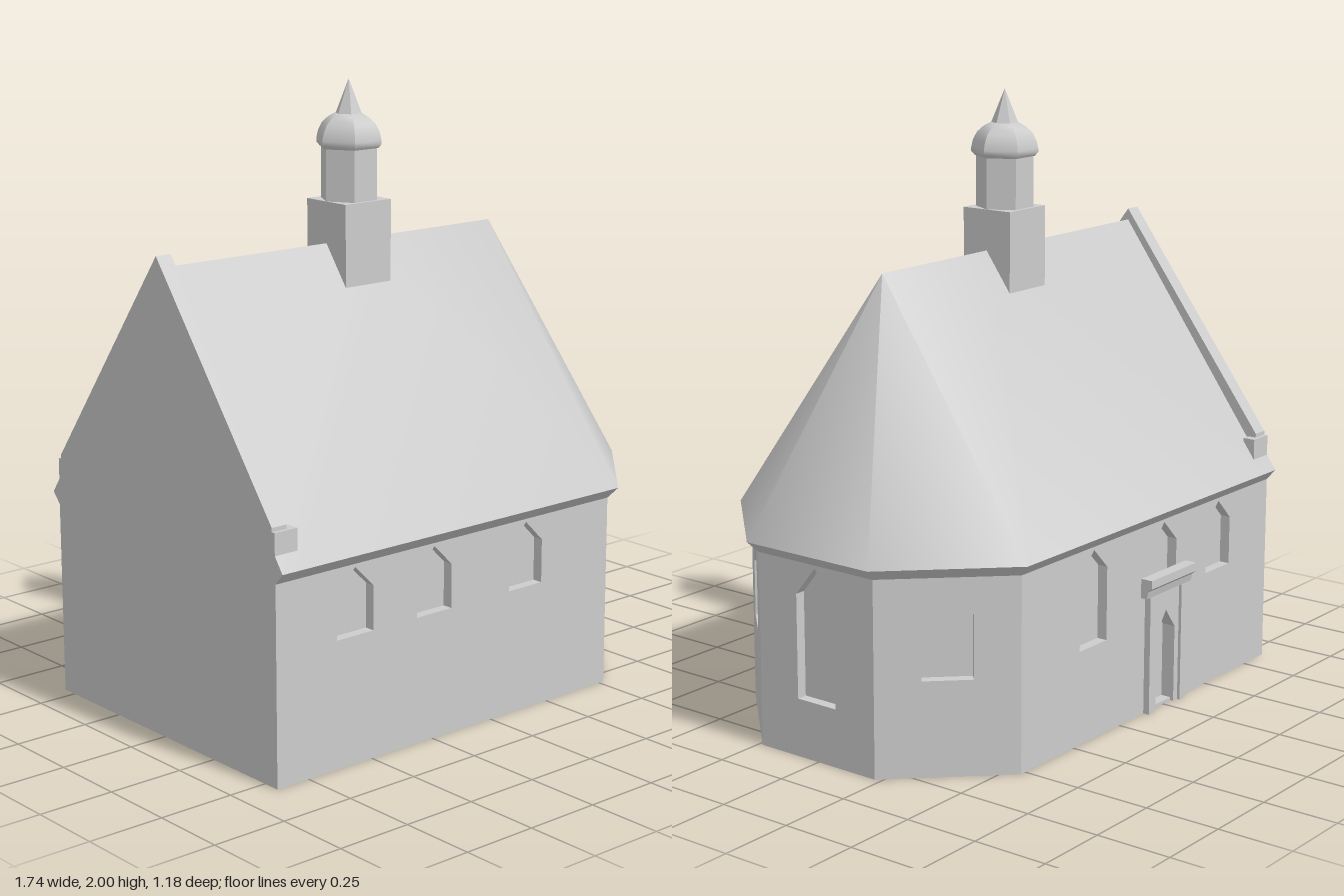
import * as THREE from 'three';
import { toCreasedNormals } from 'three/addons/utils/BufferGeometryUtils.js';

const stone = new THREE.MeshStandardMaterial({ color: 0xcccccc });
stone.name = 'pale stone';

const WALL_H = 0.635, EAVE_Y = 0.672, RIDGE_Y = 1.487, RECESS = 0.035;
// Plan outlines as [x, z], running from the front gable corner round the apse
const FOOT = [[-0.87, 0.555], [0.52, 0.555], [0.83, 0.232], [0.83, -0.232], [0.52, -0.555], [-0.87, -0.555]];
const EAVE = [[-0.87, 0.588], [0.535, 0.588], [0.867, 0.245], [0.867, -0.245], [0.535, -0.588], [-0.87, -0.588]];

function add(parent, name, geometry, x = 0, y = 0, z = 0) {
  const mesh = new THREE.Mesh(geometry, stone);
  mesh.name = name;
  mesh.position.set(x, y, z);
  parent.add(mesh);
  return mesh;
}

const polygon = (pts) => new THREE.Shape(pts.map(([x, y]) => new THREE.Vector2(x, y)));
const extrude = (shape, depth) => new THREE.ExtrudeGeometry(shape, { depth, bevelEnabled: false });

// Pointed opening: centre u, half width, sill, shoulder and apex heights
const pointedArch = (u, half, sill, shoulder, apex) => polygon(
  [[u - half, sill], [u + half, sill], [u + half, shoulder], [u, apex], [u - half, shoulder]]);

function triangles(corners) {
  const geo = new THREE.BufferGeometry();
  geo.setAttribute('position', new THREE.Float32BufferAttribute(corners.flat(), 3));
  geo.computeVertexNormals();
  return geo;
}

// Wall between two plan corners with recessed windows; local x runs along it, z points out
function buildWall(name, [ax, az], [bx, bz], openings) {
  const wall = new THREE.Group();
  wall.name = name;
  wall.position.set(ax, 0, az);
  wall.rotation.y = Math.atan2(az - bz, bx - ax);
  const len = Math.hypot(bx - ax, bz - az);
  const face = polygon([[0, 0], [len, 0], [len, WALL_H], [0, WALL_H]]);
  for (const o of openings) {
    face.holes.push(pointedArch(...o));
    add(wall, 'recessedPane', new THREE.ShapeGeometry(pointedArch(...o)), 0, 0, -RECESS);
  }
  add(wall, 'wallPanel', extrude(face, RECESS), 0, 0, -RECESS);
  return wall;
}

// Door surround on a wall, centred at u
function buildPortal(u) {
  const portal = new THREE.Group();
  portal.name = 'doorPortal';
  portal.position.x = u;
  add(portal, 'surround', extrude(polygon([[-0.105, 0], [-0.052, 0], [-0.052, 0.26], [0, 0.33],
    [0.052, 0.26], [0.052, 0], [0.105, 0], [0.105, 0.41], [-0.105, 0.41]]), 0.012));
  for (const s of [-1, 1]) {
    add(portal, 'pilaster', new THREE.BoxGeometry(0.03, 0.41, 0.022), s * 0.09, 0.205, 0.011);
  }
  const profile = polygon([[0, 0.4], [0.022, 0.4], [0.028, 0.425], [0.042, 0.437], [0.042, 0.465], [0, 0.465]]);
  add(portal, 'cornice', extrude(profile, 0.256).rotateY(-Math.PI / 2), 0.128);
  return portal;
}

function buildRoof() {
  const roof = new THREE.Group();
  roof.name = 'roof';
  const [a, b, c] = EAVE.map(([x, z]) => [x, EAVE_Y, z]);
  const ridgeStart = [-0.87, RIDGE_Y, 0], ridgeMid = [-0.02, RIDGE_Y, 0], hip = [0.5, RIDGE_Y, 0];
  const flip = ([x, y, z]) => [x, y, -z];
  // Front half of the slopes, then mirrored
  const half = [[a, b, ridgeMid], [a, ridgeMid, ridgeStart], [b, hip, ridgeMid], [b, c, hip]];
  const slopes = [...half, ...half.map(([p, q, r]) => [flip(p), flip(r), flip(q)]), [c, flip(c), hip]];
  add(roof, 'roofSlopes', toCreasedNormals(triangles(slopes.flat()), 0.8));

  // Sloping soffit from the wall head out to the eaves
  const soffit = [];
  for (let i = 0; i < FOOT.length - 1; i++) {
    const lo = (j) => [FOOT[j][0], WALL_H, FOOT[j][1]];
    const hi = (j) => [EAVE[j][0], EAVE_Y, EAVE[j][1]];
    soffit.push(lo(i), lo(i + 1), hi(i + 1), lo(i), hi(i + 1), hi(i));
  }
  add(roof, 'eavesSoffit', triangles(soffit));
  return roof;
}

function buildGable() {
  const gable = new THREE.Group();
  gable.name = 'gable';
  const face = polygon([[-0.555, 0], [0.555, 0], [0.555, WALL_H], [0.588, EAVE_Y], [0, RIDGE_Y],
    [-0.588, EAVE_Y], [-0.555, WALL_H]]);
  add(gable, 'gableWall', new THREE.ShapeGeometry(face).rotateY(-Math.PI / 2), -0.87);
  // Raised coping along the verge with a kneeler at each foot
  const coping = polygon([[0.54, 0.72], [0.54, 0.803], [0, 1.525], [-0.54, 0.803], [-0.54, 0.72], [0, 1.45]]);
  add(gable, 'coping', extrude(coping, 0.055).rotateY(-Math.PI / 2), -0.815);
  for (const s of [-1, 1]) {
    add(gable, 'kneeler', new THREE.BoxGeometry(0.085, 0.09, 0.042), -0.8275, 0.745, s * 0.532);
  }
  return gable;
}

function buildTurret() {
  const turret = new THREE.Group();
  turret.name = 'turret';
  turret.position.x = -0.112;
  add(turret, 'turretBase', new THREE.BoxGeometry(0.188, 0.32, 0.188), 0, 1.46, 0);
  const hex = (geo) => toCreasedNormals(geo.rotateY(Math.PI / 6).toNonIndexed(), 0.7);
  add(turret, 'lantern', hex(new THREE.CylinderGeometry(0.094, 0.094, 0.18, 6)), 0, 1.7, 0);
  const dome = [[0, 1.785], [0.098, 1.785], [0.109, 1.797], [0.109, 1.81], [0.103, 1.835],
    [0.09, 1.86], [0.068, 1.88], [0.045, 1.892], [0, 1.895]];
  add(turret, 'dome', hex(new THREE.LatheGeometry(dome.map(([r, y]) => new THREE.Vector2(r, y)), 6)));
  add(turret, 'spire', hex(new THREE.ConeGeometry(0.045, 0.112, 6)), 0, 1.944, 0);
  return turret;
}

export function createModel() {
  const chapel = new THREE.Group();
  chapel.name = 'chapel';
  const body = new THREE.Group();
  body.name = 'body';
  body.position.z = 0.004;
  chapel.add(body);

  // Openings per wall: [centre along wall, half width, sill, shoulder, apex]
  const diag = Math.hypot(0.31, 0.323) / 2;
  const win = (u, sill) => [u, 0.072, sill, 0.553, 0.625];
  const walls = [
    ['frontWall', [win(0.305, 0.41), win(0.625, 0.41), win(1.018, 0.41)]],
    ['frontApseWall', [[diag, 0.08, 0.33, 0.515, 0.625]]],
    ['endApseWall', [[0.232, 0.077, 0.19, 0.53, 0.625]]],
    ['backApseWall', [[diag, 0.08, 0.31, 0.515, 0.625]]],
    ['backWall', [win(0.372, 0.31), win(0.763, 0.41), win(1.085, 0.39), [0.763, 0.052, 0.01, 0.26, 0.33]]],
  ];
  walls.forEach(([name, openings], i) => {
    const wall = buildWall(name, FOOT[i], FOOT[i + 1], openings);
    if (name === 'backWall') wall.add(buildPortal(0.763));
    body.add(wall);
  });

  add(body, 'floor', new THREE.ShapeGeometry(polygon(FOOT)).rotateX(Math.PI / 2));
  body.add(buildGable(), buildRoof(), buildTurret());
  return chapel;
}
